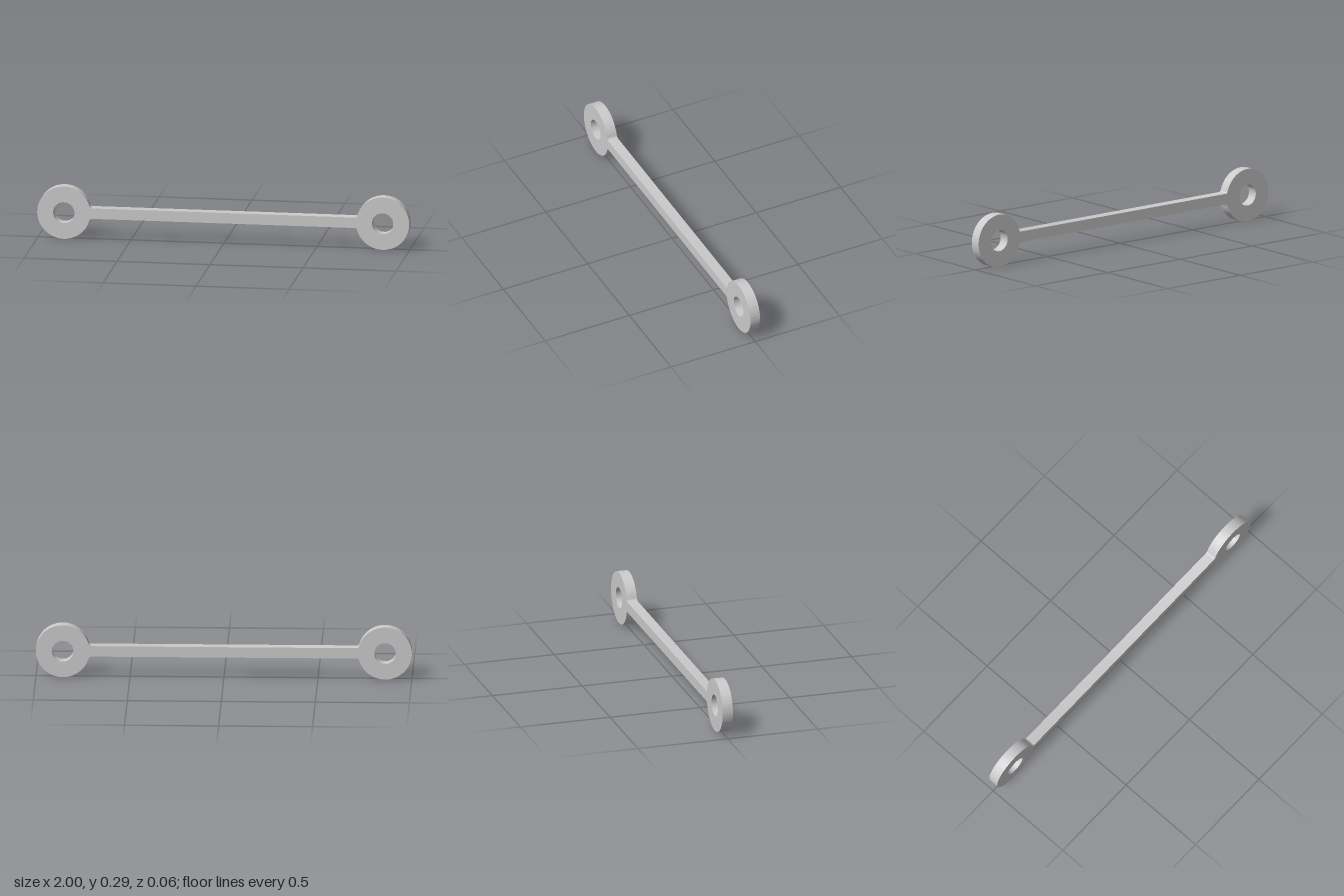
import * as THREE from 'three';
import { toCreasedNormals } from 'three/addons/utils/BufferGeometryUtils.js';

const R = 1 / 7;        // eye outer radius
const HOLE = 0.4 * R;   // eye hole radius
const H = 0.2 * R;      // half height of the bar
const F = 0.1 * R;      // fillet radius between bar and eye
const DEPTH = 0.4 * R;  // thickness along z
const C = 1 - R;        // eye centre distance from the middle

// points along an arc from angle a to angle b
function arc(cx, cy, r, a, b, n) {
  return Array.from({ length: n + 1 }, (_, i) => {
    const t = a + ((b - a) * i) / n;
    return new THREE.Vector2(cx + r * Math.cos(t), cy + r * Math.sin(t));
  });
}

export function createModel() {
  const group = new THREE.Group();
  group.name = 'linkRod';

  // tangent fillet position beside the eye
  const dx = Math.sqrt((R + F) ** 2 - (H + F) ** 2);
  const a = Math.atan2(H + F, dx);

  // one end: lower fillet, round eye, upper fillet
  const end = [
    ...arc(C - dx, -H - F, F, Math.PI / 2, a, 10),
    ...arc(C, 0, R, a - Math.PI, Math.PI - a, 96).slice(1),
    ...arc(C - dx, H + F, F, -a, -Math.PI / 2, 10).slice(1),
  ];
  // the other end is the same, turned half a revolution
  const outline = [...end, ...end.map((p) => p.clone().negate())];
  const shape = new THREE.Shape(outline);

  // pin holes
  for (const side of [-1, 1]) {
    const pts = arc(side * C, 0, HOLE, 0, -Math.PI * 2, 64).slice(0, -1);
    shape.holes.push(new THREE.Path(pts));
  }

  const extruded = new THREE.ExtrudeGeometry(shape, { depth: DEPTH, bevelEnabled: false });
  extruded.translate(0, R, -DEPTH / 2);

  const rod = new THREE.Mesh(
    toCreasedNormals(extruded, 0.6),
    new THREE.MeshStandardMaterial({ color: 0xcccccc })
  );
  rod.name = 'rodWithEyes';
  group.add(rod);
  return group;
}
